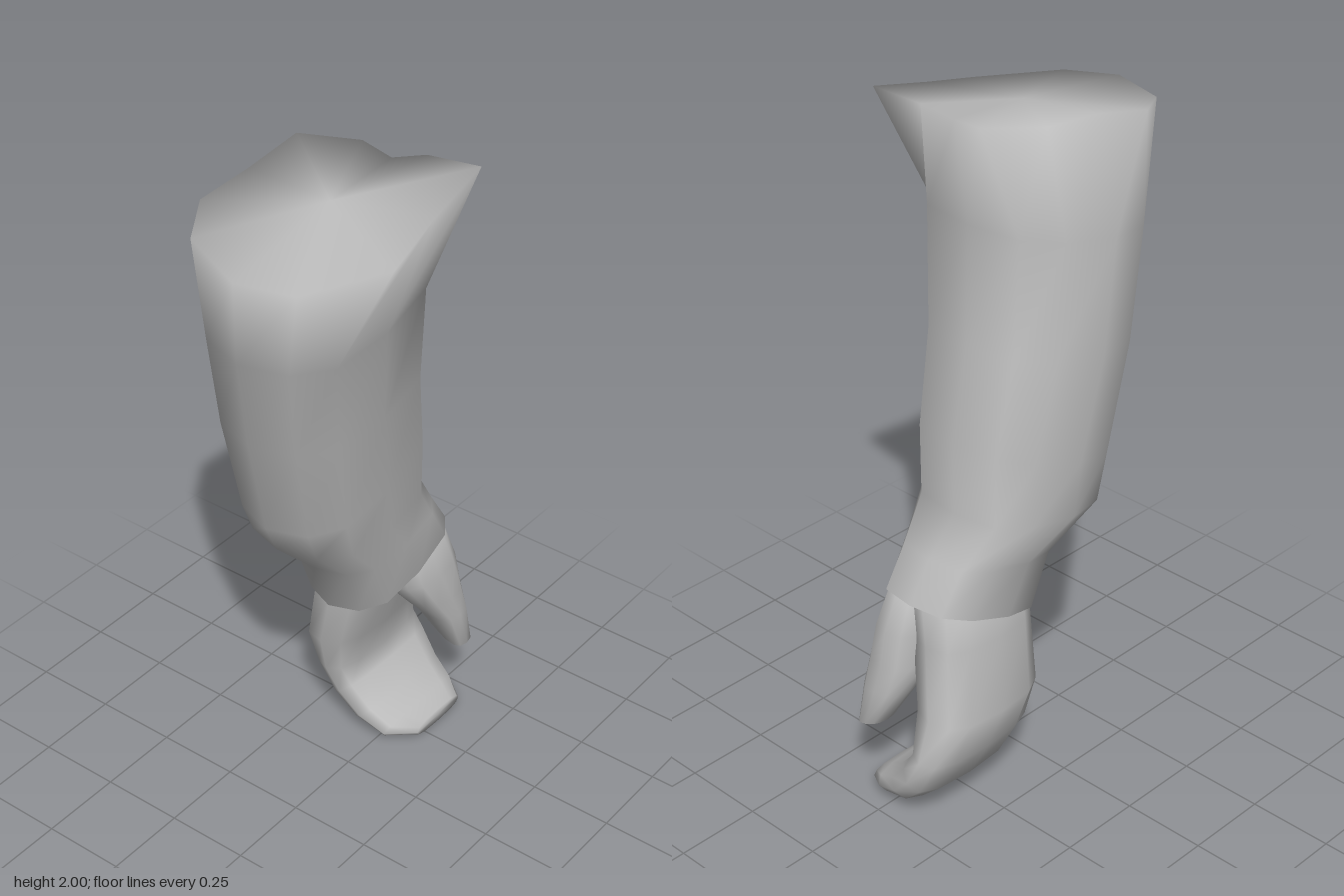
import * as THREE from 'three';

const SIDES = 12;

// Rounded ring: centre c, half-axes u and v; skew makes one corner boxier, the opposite rounder
function ring(c, u, v, power, skew) {
  const soft = (t, p) => Math.sign(t) * Math.pow(Math.abs(t), p);
  return Array.from({ length: SIDES }, (_, i) => {
    const a = (i / SIDES) * Math.PI * 2;
    const e = power - skew * (Math.sin(a) - Math.cos(a));
    const p = soft(Math.cos(a), e), q = soft(Math.sin(a), e);
    return c.map((n, k) => n + u[k] * p + v[k] * q);
  });
}

// Ring between two points (x, y), spanning z0 to z1
function limbRing([ax, ay, bx, by, z0, z1]) {
  return ring(
    [(ax + bx) / 2, (ay + by) / 2, (z0 + z1) / 2],
    [0, 0, (z1 - z0) / 2],
    [(bx - ax) / 2, (by - ay) / 2, 0],
    0.75, 0
  );
}

// Sleeve ring: x range, z range, height at the front and at the back
function sleeveRing([x0, x1, z0, z1, yf, yb]) {
  return ring(
    [(x0 + x1) / 2, (yf + yb) / 2, (z0 + z1) / 2],
    [0, (yf - yb) / 2, (z1 - z0) / 2],
    [(x1 - x0) / 2, 0, 0],
    0.78, 0.14
  );
}

const average = (r) => [0, 1, 2].map((k) => r.reduce((s, p) => s + p[k], 0) / r.length);

// Smooth closed skin over a row of rings
function loft(rings, material, name) {
  const points = rings.flat();
  const index = [];
  const first = points.push(average(rings[0])) - 1;
  const last = points.push(average(rings[rings.length - 1])) - 1;
  const end = (rings.length - 1) * SIDES;
  for (let i = 0; i < SIDES; i++) {
    const j = (i + 1) % SIDES;
    for (let r = 0; r < end; r += SIDES) {
      index.push(r + i, r + SIDES + i, r + j, r + j, r + SIDES + i, r + SIDES + j);
    }
    index.push(first, i, j, last, end + j, end + i);
  }
  // Turn the faces outward
  const V = points.map((p) => new THREE.Vector3(...p));
  let volume = 0;
  for (let i = 0; i < index.length; i += 3) {
    volume += V[index[i]].dot(V[index[i + 1]].clone().cross(V[index[i + 2]]));
  }
  if (volume < 0) index.reverse();
  const geometry = new THREE.BufferGeometry().setFromPoints(V);
  geometry.setIndex(index);
  geometry.computeVertexNormals();
  const mesh = new THREE.Mesh(geometry, material);
  mesh.name = name;
  return mesh;
}

export function createModel() {
  const group = new THREE.Group();
  group.name = 'forearm';
  const grey = new THREE.MeshStandardMaterial({ color: 0xbcbcbc });
  grey.name = 'plain grey';

  // Uneven upper rim, from the front round by +x
  const rim = [
    [0.04, 1.9, 0.5], [0.19, 1.89, 0.445], [0.31, 1.9, 0.22], [0.285, 1.95, 0.02],
    [0.275, 2, -0.185], [0.12, 1.99, -0.168], [0.03, 1.965, -0.14], [-0.075, 1.975, -0.155],
    [-0.215, 1.99, -0.06], [-0.215, 1.97, 0.13], [-0.24, 1.94, 0.29], [-0.16, 1.915, 0.42],
  ];
  const sleeve = [
    [-0.285, 0.225, -0.155, 0.415, 1.6, 1.7],
    [-0.305, 0.175, -0.2, 0.34, 1.3, 1.38],
    [-0.305, 0.13, -0.275, 0.25, 0.97, 1.13],
    [-0.308, 0.12, -0.28, 0.2, 0.87, 0.92],
    [-0.24, 0.095, -0.355, 0.06, 0.73, 0.8],
    [-0.235, 0.09, -0.43, 0, 0.56, 0.69],
    [-0.215, 0.07, -0.41, -0.02, 0.57, 0.69],
  ].map(sleeveRing);
  group.add(loft([rim, ...sleeve], grey, 'sleeve'));

  // Palm running into curled, joined fingers
  const hand = [
    [-0.2, 0.72, 0.05, 0.72, -0.39, -0.06],
    [-0.21, 0.55, 0.01, 0.55, -0.4, -0.04],
    [-0.25, 0.34, -0.05, 0.36, -0.445, -0.06],
    [-0.22, 0.22, -0.08, 0.24, -0.485, -0.085],
    [-0.165, 0.11, -0.06, 0.19, -0.497, -0.1],
    [-0.09, 0.04, 0, 0.12, -0.48, -0.112],
    [0.02, 0.005, 0.055, 0.08, -0.46, -0.125],
    [0.1, 0, 0.1, 0.045, -0.42, -0.21],
  ].map(limbRing);
  group.add(loft(hand, grey, 'hand'));

  // Thumb, broad where it joins the palm
  const thumb = [
    [-0.06, 0.68, 0.075, 0.68, -0.4, -0.16],
    [-0.06, 0.56, 0.1, 0.56, -0.438, -0.18],
    [-0.06, 0.46, 0.11, 0.45, -0.453, -0.26],
    [-0.03, 0.37, 0.112, 0.36, -0.467, -0.335],
    [0.02, 0.27, 0.115, 0.235, -0.478, -0.39],
  ].map(limbRing);
  group.add(loft(thumb, grey, 'thumb'));

  return group;
}
